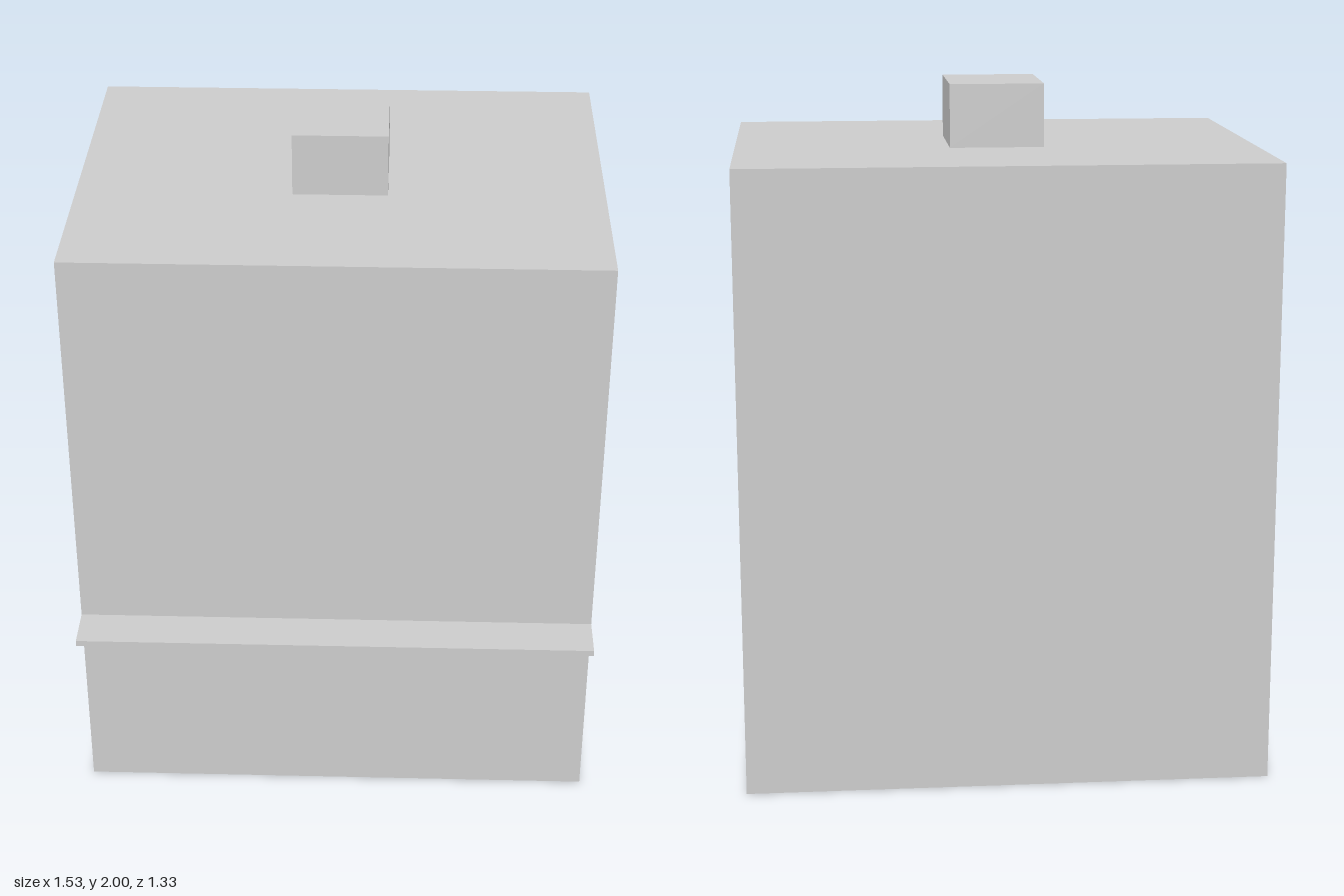
import * as THREE from 'three';

const grey = new THREE.MeshStandardMaterial({ color: 0xcccccc, flatShading: true });
const shellGrey = new THREE.MeshStandardMaterial({ color: 0xcccccc, flatShading: true, side: THREE.DoubleSide });

// Box given by its lower and upper corners
function box(name, [x0, y0, z0], [x1, y1, z1], material = grey) {
  const geometry = new THREE.BoxGeometry(x1 - x0, y1 - y0, z1 - z0);
  geometry.translate((x0 + x1) / 2, (y0 + y1) / 2, (z0 + z1) / 2);
  const mesh = new THREE.Mesh(geometry, material);
  mesh.name = name;
  return mesh;
}

export function createModel() {
  const model = new THREE.Group();
  model.name = 'building';
  const W = 0.765, front = 0.535, back = -0.665, roof = 1.815;

  // Thin walls and flat roof, open underneath (the bottom face is left out)
  const walls = box('walls', [-W, 0, back], [W, roof, front], shellGrey);
  const index = Array.from(walls.geometry.index.array);
  index.splice(18, 6);
  walls.geometry.setIndex(index);
  walls.geometry.clearGroups();
  model.add(walls);

  // Chimney
  model.add(box('chimney', [-0.138, roof, -0.23], [0.138, 2, 0.095]));

  // Awning ledge along the front
  model.add(box('awning', [-W, 0.602, front], [W, 0.62, 0.665]));

  // Three shallow panels on the inside of the front wall
  for (const x of [-0.52, 0, 0.52]) {
    model.add(box('windowPanel', [x - 0.22, 0.32, front - 0.03], [x + 0.22, 0.61, front - 0.002]));
  }

  // Wide board above them, also inside
  model.add(box('innerBoard', [-0.605, 0.83, front - 0.13], [0.605, 1.15, front - 0.002]));

  return model;
}
